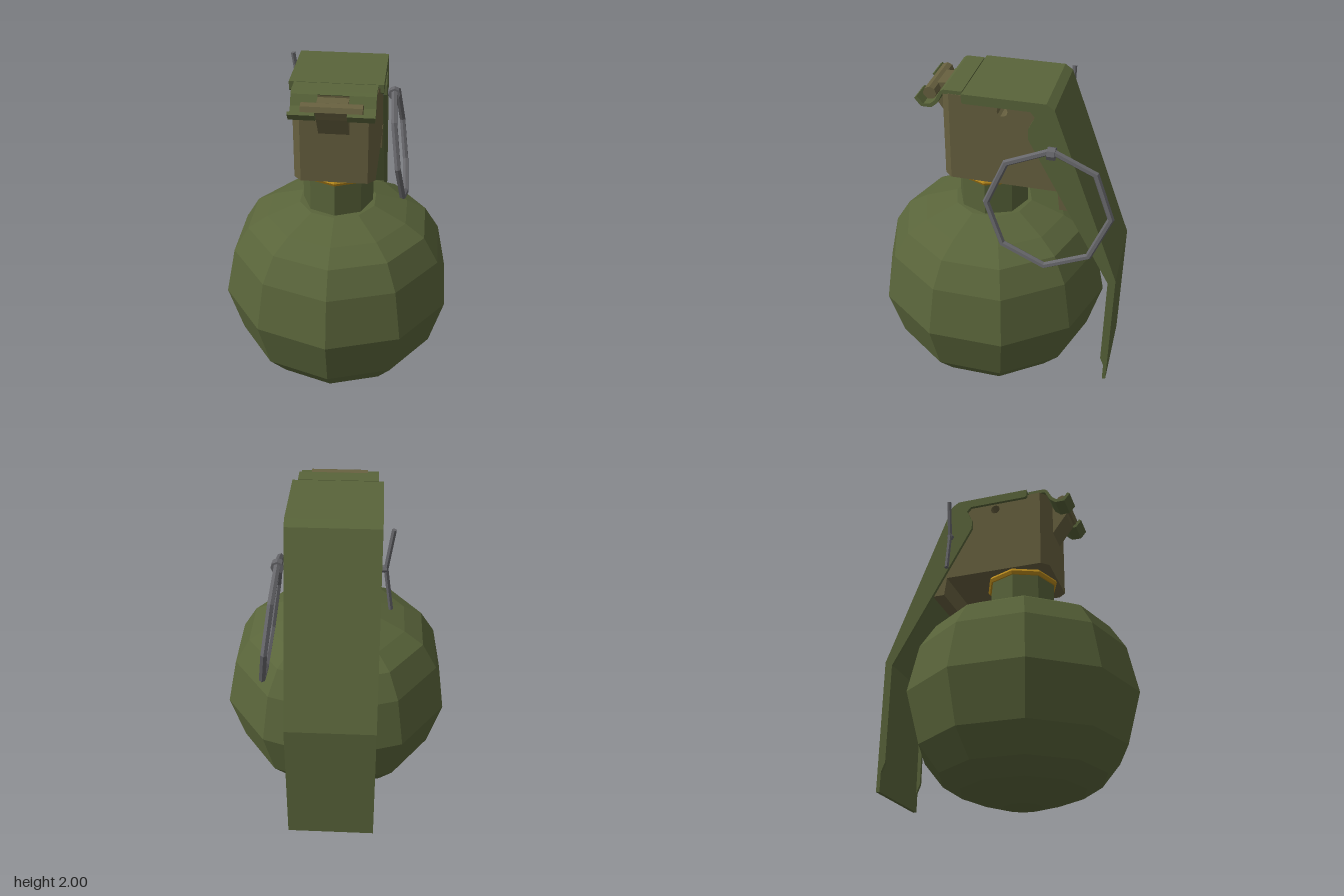
import * as THREE from 'three';

const mat = (color) => new THREE.MeshStandardMaterial({ color, flatShading: true, side: THREE.DoubleSide });

export function createModel() {
  const model = new THREE.Group();
  const green = mat(0x59643a), tan = mat(0x67603f), gold = mat(0xb8891c), steel = mat(0x66666a);

  const add = (name, geometry, material, parent = model) => {
    const mesh = new THREE.Mesh(geometry, material);
    mesh.name = name;
    parent.add(mesh);
    return mesh;
  };

  // Side profile given as [z, y] points, extruded from x0 to x1
  const sideExtrude = (points, x0, x1, hole) => {
    const shape = new THREE.Shape(points.map(([z, y]) => new THREE.Vector2(-z, y)));
    if (hole) shape.holes.push(new THREE.Path().absarc(-hole[0], hole[1], hole[2], 0, Math.PI * 2, true));
    return new THREE.ExtrudeGeometry(shape, { depth: x1 - x0, bevelEnabled: false, curveSegments: 5 })
      .rotateY(Math.PI / 2).translate(x0, 0, 0);
  };

  // Straight rod between two points
  const rod = (name, a, b, radius, material, sides = 6) => {
    const from = new THREE.Vector3(...a), to = new THREE.Vector3(...b);
    const dir = to.clone().sub(from);
    const mesh = add(name, new THREE.CylinderGeometry(radius, radius, dir.length(), sides), material);
    mesh.position.copy(from).add(to).multiplyScalar(0.5);
    mesh.quaternion.setFromUnitVectors(new THREE.Vector3(0, 1, 0), dir.normalize());
  };

  // Ten-sided round body
  const profile = [[0, 0], [0.115, 0], [0.375, 0.08], [0.5, 0.16], [0.625, 0.315], [0.71, 0.625],
    [0.648, 0.92], [0.555, 1.07], [0.435, 1.14], [0.235, 1.215], [0, 1.215]];
  add('body', new THREE.LatheGeometry(profile.map((p) => new THREE.Vector2(...p)), 10), green)
    .position.z = 0.045;

  // Neck and its collar
  add('neck', new THREE.CylinderGeometry(0.21, 0.21, 0.27, 8), green).position.set(0, 1.335, 0.045);
  add('collar', new THREE.TorusGeometry(0.21, 0.021, 6, 8).rotateX(Math.PI / 2), gold)
    .position.set(0, 1.436, 0.045);

  // Fuze head with a cross hole, and its chamfered front
  add('fuzeHead', sideExtrude([[0.235, 1.455], [-0.42, 1.455], [-0.31, 1.965], [0.235, 1.98]],
    -0.232, 0.232, [-0.065, 1.912, 0.03]), tan);
  const front = new THREE.Shape([[-0.232, -0.235], [-0.19, -0.28], [0.19, -0.28], [0.232, -0.235]]
    .map((p) => new THREE.Vector2(...p)));
  add('fuzeFront', new THREE.ExtrudeGeometry(front, { depth: 0.525, bevelEnabled: false })
    .rotateX(-Math.PI / 2), tan).position.y = 1.455;
  add('rearTab', sideExtrude([[-0.385, 1.456], [-0.4, 1.335], [-0.475, 1.335], [-0.49, 1.456]],
    -0.232, 0.232), tan);

  // Hinge: gusset on the head and a cross pin
  add('hingeGusset', sideExtrude([[0.27, 1.75], [0.28, 1.755], [0.37, 1.88], [0.39, 1.93], [0.36, 1.965], [0.27, 1.97]],
    -0.085, 0.085), tan);
  rod('hingePin', [-0.165, 1.935, 0.365], [0.165, 1.935, 0.365], 0.039, tan, 8);

  // Safety lever: bent sheet, narrow front plate, curled hooks and side flanges
  add('leverSheet', sideExtrude([[0.155, 2], [-0.31, 2], [-0.355, 1.97], [-0.76, 0.905], [-0.76, 0.09],
    [-0.738, 0.09], [-0.738, 0.905], [-0.335, 1.96], [-0.305, 1.98], [0.155, 1.98]], -0.26, 0.26), green);
  add('leverFrontPlate', sideExtrude([[0.16, 2], [0.265, 2], [0.285, 1.985], [0.275, 1.975], [0.16, 1.98]],
    -0.23, 0.23), green);
  const hook = [[0.265, 2], [0.285, 1.985], [0.315, 1.93], [0.345, 1.905], [0.38, 1.902], [0.418, 1.942],
    [0.432, 1.93], [0.395, 1.885], [0.335, 1.885], [0.3, 1.915], [0.272, 1.97]];
  const flange = [[0.155, 2], [0.155, 1.955], [0.145, 1.945], [-0.225, 1.945], [-0.25, 1.915], [-0.215, 1.84],
    [-0.215, 1.78], [-0.715, 0.88], [-0.715, 0.265], [-0.737, 0.21], [-0.76, 0.21], [-0.76, 0.905],
    [-0.355, 1.97], [-0.31, 2]];
  for (const [name, s] of [['left', 1], ['right', -1]]) {
    const span = (a, b) => (s > 0 ? [a, b] : [-b, -a]);
    add(name + 'LeverHook', sideExtrude(hook, ...span(0.085, 0.23)), green);
    add(name + 'LeverFlange', sideExtrude(flange, ...span(0.24, 0.26)), green);
  }

  // Split safety pin with spread ends
  const py = 1.735, pz = -0.355;
  rod('safetyPin', [-0.285, py, pz], [0.3, py, pz], 0.02, steel);
  rod('upperPinEnd', [-0.28, py - 0.01, pz], [-0.316, 1.97, pz], 0.014, steel);
  rod('lowerPinEnd', [-0.28, py + 0.01, pz], [-0.316, 1.48, pz], 0.014, steel);
  rod('pinEye', [0.3, py, pz - 0.022], [0.3, py, pz + 0.022], 0.037, steel, 8);

  // Pull ring hanging at a slight tilt
  const ring = add('pullRing', new THREE.TorusGeometry(0.352, 0.02, 6, 8)
    .rotateY(Math.PI / 2).translate(0, -0.352, 0), steel);
  ring.position.set(0.3, 1.75, pz);
  ring.rotation.z = 0.14;

  return model;
}
